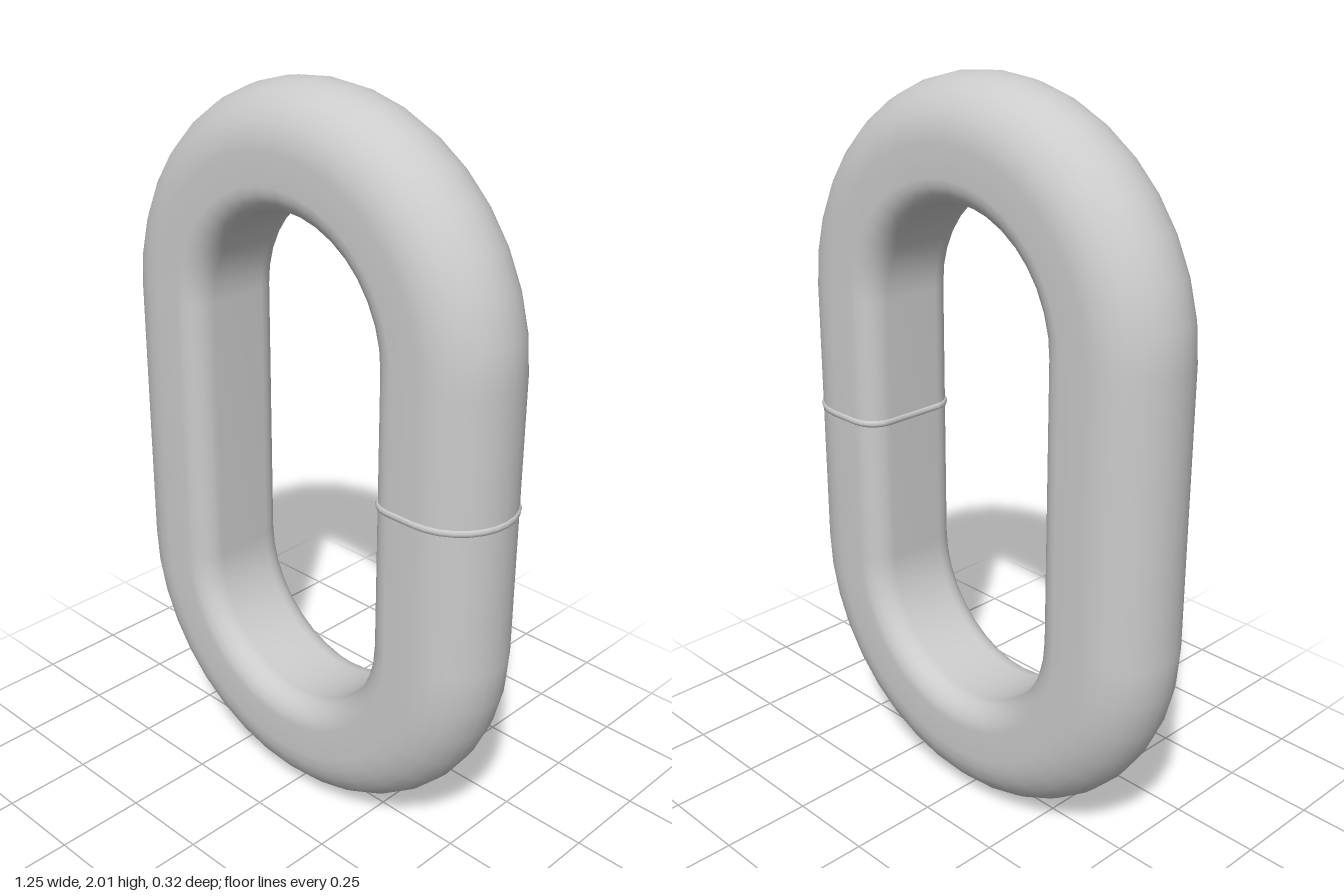
import * as THREE from 'three';

const BEND = 0.467;       // centreline radius of both round ends
const HALF_STRAIGHT = 0.38;
const ROD = 0.156;        // half thickness of the rod
const CORNER = 0.07;      // rounding of the two inner corners
const ARC_STEPS = 18;

// Rod outline: half round on the outside, a rounded square on the inner side
function rodSection() {
  const points = [];
  const addArc = (u, z, radius, from, to, steps) => {
    for (let k = 0; k <= steps; k++) {
      const t = THREE.MathUtils.degToRad(from + ((to - from) * k) / steps);
      points.push([u + radius * Math.cos(t), z + radius * Math.sin(t)]);
    }
  };
  addArc(0, 0, ROD, -90, 90, 14);
  addArc(CORNER - ROD, ROD - CORNER, CORNER, 90, 180, 5);
  addArc(CORNER - ROD, CORNER - ROD, CORNER, 180, 270, 5);
  return points;
}

// Joins equal-length rings into a surface closed in both directions
function closedLoft(rings) {
  const n = rings.length;
  const m = rings[0].length;
  const index = [];
  for (let i = 0; i < n; i++) {
    for (let j = 0; j < m; j++) {
      const i2 = (i + 1) % n;
      const j2 = (j + 1) % m;
      const a = i * m + j, b = i2 * m + j, c = i2 * m + j2, d = i * m + j2;
      index.push(a, b, c, a, c, d);
    }
  }
  const geometry = new THREE.BufferGeometry();
  geometry.setAttribute('position', new THREE.Float32BufferAttribute(rings.flat(2), 3));
  geometry.setIndex(index);
  geometry.computeVertexNormals();
  return geometry;
}

export function createModel() {
  const group = new THREE.Group();
  group.name = 'chainLink';
  const material = new THREE.MeshStandardMaterial({ color: 0xcccccc });
  const section = rodSection();

  // Link body: two half-circle bends; the loft closes the straight bars between them
  const bodyRings = [];
  for (const end of [0, 1]) {
    const cy = 1 + (end === 0 ? HALF_STRAIGHT : -HALF_STRAIGHT);
    for (let i = 0; i <= ARC_STEPS; i++) {
      const phi = (end + i / ARC_STEPS) * Math.PI;
      bodyRings.push(section.map(([u, z]) => [
        (BEND + u) * Math.cos(phi),
        cy + (BEND + u) * Math.sin(phi),
        z,
      ]));
    }
  }
  const body = new THREE.Mesh(closedLoft(bodyRings), material);
  body.name = 'linkBody';
  group.add(body);

  // Weld seam: a thin bead wrapped round the left bar
  const seamRings = [];
  for (let i = 0; i < 8; i++) {
    const s = (i / 8) * Math.PI * 2;
    const grow = 1 + (0.008 * Math.cos(s) - 0.003) / ROD;
    seamRings.push(section.map(([u, z]) => [u * grow, 0.011 * Math.sin(s), z * grow]));
  }
  const seam = new THREE.Mesh(closedLoft(seamRings), material);
  seam.name = 'weldSeam';
  seam.position.set(BEND, 1.035, 0);
  group.add(seam);

  group.position.x = -0.003;
  return group;
}
